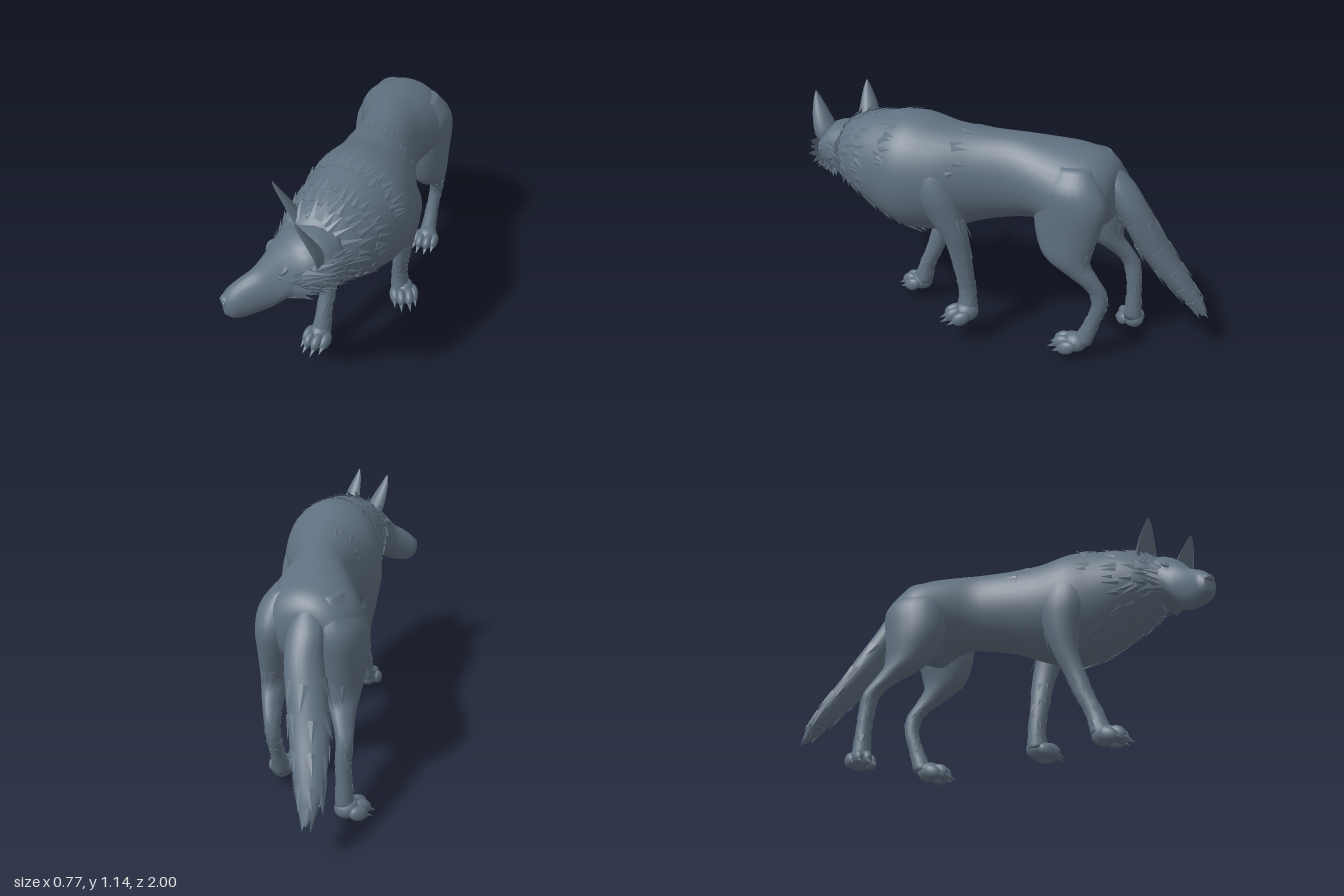
import * as THREE from 'three';
import { mergeGeometries } from 'three/addons/utils/BufferGeometryUtils.js';

const coat = new THREE.MeshStandardMaterial({ color: 0x607080 });
coat.name = 'slate coat';

let seed = 7;
const rand = () => (seed = (seed * 16807) % 2147483647) / 2147483647;

// Cross-sections: [x, y, z, halfWidth, halfDepth].
// Axis 'z' runs back to front, axis 'y' runs top to bottom.
function ringAt(rings, t) {
  const n = rings.length - 1, f = Math.min(Math.max(t, 0), 1) * n;
  const i = Math.min(Math.floor(f), n - 1), u = f - i;
  const at = k => rings[Math.min(Math.max(k, 0), n)];
  const [p, q, r, s] = [at(i - 1), at(i), at(i + 1), at(i + 2)];
  return q.map((b, k) => b + 0.5 * u * (r[k] - p[k] + u * (2 * p[k] - 5 * b + 4 * r[k] - s[k]
    + u * (3 * (b - r[k]) + s[k] - p[k]))));
}

function surf(rings, axis, t, a, dent = 1) {
  const [x, y, z, w, h] = ringAt(rings, t);
  const c = Math.cos(a) * w, s = Math.sin(a) * h * (Math.sin(a) > 0 ? dent : 1);
  return axis === 'z' ? new THREE.Vector3(x + c, y + s, z) : new THREE.Vector3(x + c, y, z + s);
}

function loft(name, rings, axis, { seg = 24, dent = 1 } = {}) {
  const rows = (rings.length - 1) * 4, pos = [], idx = [];
  for (let i = 0; i <= rows; i++)
    for (let j = 0; j < seg; j++)
      pos.push(...surf(rings, axis, i / rows, j / seg * Math.PI * 2, dent).toArray());
  for (let i = 0; i < rows; i++)
    for (let j = 0; j < seg; j++) {
      const a = i * seg + j, b = i * seg + (j + 1) % seg;
      idx.push(a, b, b + seg, a, b + seg, a + seg);
    }
  // End caps
  const first = pos.length / 3;
  pos.push(...rings[0].slice(0, 3), ...rings[rings.length - 1].slice(0, 3));
  for (let j = 0; j < seg; j++) {
    const k = (j + 1) % seg;
    idx.push(first, k, j, first + 1, rows * seg + j, rows * seg + k);
  }
  const g = new THREE.BufferGeometry();
  g.setAttribute('position', new THREE.Float32BufferAttribute(pos, 3));
  g.setIndex(idx);
  g.computeVertexNormals();
  const m = new THREE.Mesh(g, coat);
  m.name = name;
  return m;
}

// Rows of flat pointed tufts lying on a lofted surface: [t, startAngle, endAngle, count, length, width, lift]
function fur(name, rings, axis, rows) {
  const flow = axis === 'z' ? -1 : 1, parts = [];
  for (const [t0, a0, a1, n, len, wid, lift] of rows)
    for (let i = 0; i < n; i++) {
      const a = a0 + (a1 - a0) * (i + rand() * 0.8) / n, t = t0 + (rand() - 0.5) * 0.03;
      const p = surf(rings, axis, t, a);
      const along = surf(rings, axis, t + 0.01, a).sub(surf(rings, axis, t - 0.01, a)).normalize();
      const around = surf(rings, axis, t, a + 0.02).sub(p).normalize();
      const normal = around.clone().cross(along).normalize();
      const dir = along.multiplyScalar(flow).addScaledVector(normal, lift)
        .addScaledVector(around, (rand() - 0.5) * 0.5).normalize();
      const side = dir.clone().cross(normal).normalize();
      const L = len * (0.7 + rand() * 0.6);
      const g = new THREE.ConeGeometry(1, 1, 4, 1).toNonIndexed();
      g.translate(0, 0.35, 0).scale(wid, L, wid * 0.3);
      g.applyMatrix4(new THREE.Matrix4().makeBasis(side, dir, side.clone().cross(dir)).setPosition(p));
      g.computeVertexNormals();
      parts.push(g);
    }
  const m = new THREE.Mesh(mergeGeometries(parts), coat);
  m.name = name;
  return m;
}

function ball(name, x, y, z, rx, ry, rz) {
  const m = new THREE.Mesh(new THREE.SphereGeometry(1, 16, 12), coat);
  m.name = name;
  m.position.set(x, y, z);
  m.scale.set(rx, ry, rz);
  return m;
}

// Paw with four toes and heavy claws, sole at y
function paw(name, x, y, z, yaw) {
  const g = new THREE.Group();
  g.name = name;
  g.position.set(x, y, z);
  g.rotation.y = yaw;
  g.add(ball('pawPad', 0, 0.05, -0.02, 0.05, 0.048, 0.058));
  [-0.046, -0.019, 0.019, 0.046].forEach((tx, i) => {
    const inner = i % 3 > 0, tz = inner ? 0.04 : 0.01;
    const toe = ball('toe', tx, inner ? 0.045 : 0.036, tz, 0.024, 0.034, 0.046);
    toe.rotation.x = 0.45;
    const claw = new THREE.Mesh(new THREE.ConeGeometry(0.015, 0.055, 6), coat);
    claw.name = 'claw';
    claw.position.set(tx * 1.08, 0.018, tz + 0.045);
    claw.rotation.x = 2.05;
    g.add(toe, claw);
  });
  return g;
}

const BODY = [
  [-0.07, 0.8, -0.59, 0.05, 0.05], [-0.07, 0.8, -0.57, 0.135, 0.12], [-0.06, 0.8, -0.51, 0.195, 0.175],
  [-0.05, 0.79, -0.4, 0.225, 0.215], [-0.02, 0.83, -0.28, 0.19, 0.19], [0.02, 0.835, -0.15, 0.155, 0.2],
  [0.06, 0.82, 0, 0.175, 0.22], [0.105, 0.8, 0.15, 0.218, 0.255], [0.13, 0.805, 0.3, 0.245, 0.282],
  [0.14, 0.815, 0.42, 0.228, 0.262], [0.145, 0.835, 0.54, 0.205, 0.218], [0.14, 0.845, 0.64, 0.175, 0.178],
  [0.12, 0.84, 0.72, 0.125, 0.13]];

// Head in its own frame, facing +z
const HEAD = [
  [0.02, 0.86, -0.12, 0.1, 0.11], [0.018, 0.856, -0.04, 0.145, 0.128], [0.014, 0.84, 0.04, 0.145, 0.128],
  [0.006, 0.805, 0.1, 0.112, 0.118], [-0.003, 0.756, 0.15, 0.08, 0.116], [-0.012, 0.718, 0.2, 0.064, 0.1],
  [-0.02, 0.692, 0.26, 0.056, 0.088], [-0.026, 0.677, 0.305, 0.05, 0.068], [-0.028, 0.672, 0.333, 0.03, 0.04]];

const TAIL = [
  [-0.08, 0.92, -0.53, 0.03, 0.03], [-0.09, 0.85, -0.58, 0.07, 0.06], [-0.1, 0.75, -0.635, 0.08, 0.075],
  [-0.13, 0.64, -0.69, 0.085, 0.078], [-0.165, 0.52, -0.75, 0.085, 0.078], [-0.2, 0.4, -0.83, 0.075, 0.07],
  [-0.23, 0.29, -0.91, 0.053, 0.05], [-0.24, 0.2, -0.98, 0.012, 0.012]];

const LEGS = {
  leftForeleg: [[
    [0.22, 0.97, 0.22, 0.04, 0.05], [0.24, 0.88, 0.2, 0.08, 0.1], [0.252, 0.77, 0.17, 0.085, 0.115],
    [0.245, 0.66, 0.12, 0.066, 0.092], [0.235, 0.58, 0.08, 0.053, 0.07], [0.222, 0.5, 0.06, 0.044, 0.058],
    [0.2, 0.36, 0.047, 0.038, 0.047], [0.188, 0.25, 0.037, 0.035, 0.043], [0.195, 0.15, 0.037, 0.045, 0.05]],
  [0.22, 0.105, 0.05, 0.6]],
  rightForeleg: [[
    [0.02, 0.97, 0.29, 0.04, 0.05], [-0.02, 0.87, 0.29, 0.08, 0.11], [-0.04, 0.75, 0.28, 0.085, 0.125],
    [-0.045, 0.62, 0.27, 0.065, 0.085], [-0.038, 0.5, 0.285, 0.046, 0.058], [-0.025, 0.4, 0.32, 0.038, 0.05],
    [-0.018, 0.3, 0.355, 0.036, 0.045], [-0.015, 0.2, 0.4, 0.036, 0.042], [-0.015, 0.1, 0.43, 0.045, 0.05]],
  [-0.015, 0.045, 0.46, 0]],
  leftHindLeg: [[
    [0.06, 0.95, -0.42, 0.05, 0.08], [0.08, 0.87, -0.42, 0.09, 0.14], [0.085, 0.78, -0.43, 0.1, 0.165],
    [0.095, 0.65, -0.42, 0.088, 0.15], [0.11, 0.53, -0.43, 0.068, 0.11], [0.1, 0.45, -0.505, 0.046, 0.075],
    [0.08, 0.38, -0.57, 0.035, 0.046], [0.07, 0.3, -0.585, 0.033, 0.036], [0.068, 0.2, -0.555, 0.031, 0.036],
    [0.072, 0.08, -0.51, 0.042, 0.048]],
  [0.085, 0.027, -0.46, 0.15]],
  rightHindLeg: [[
    [-0.15, 0.96, -0.44, 0.04, 0.07], [-0.16, 0.89, -0.44, 0.08, 0.12], [-0.19, 0.8, -0.44, 0.1, 0.155],
    [-0.197, 0.66, -0.43, 0.1, 0.15], [-0.205, 0.53, -0.46, 0.078, 0.11], [-0.235, 0.45, -0.54, 0.05, 0.07],
    [-0.262, 0.38, -0.6, 0.038, 0.045], [-0.266, 0.3, -0.622, 0.034, 0.038], [-0.27, 0.2, -0.63, 0.035, 0.036],
    [-0.275, 0.06, -0.63, 0.042, 0.046]],
  [-0.3, 0, -0.615, -0.75]],
};

function makeHead() {
  const head = new THREE.Group();
  head.name = 'head';
  head.position.set(0.12, 0, 0.72);
  head.rotation.y = -0.63;
  head.add(loft('skullAndMuzzle', HEAD, 'z'), ball('nose', -0.028, 0.7, 0.322, 0.027, 0.022, 0.02));
  for (const s of [-1, 1]) {
    // Broad cupped ear, tip to base; the left one sits a little lower
    const e = s > 0 ? 0.018 : 0, d = s > 0 ? -0.022 : 0;
    head.add(loft(s > 0 ? 'leftEar' : 'rightEar', [
      [s * 0.116 + e, 1.135 + d, 0.07, 0.003, 0.003], [s * 0.113 + e, 1.09 + d, 0.06, 0.023, 0.02],
      [s * 0.107 + e, 1.02 + d, 0.035, 0.045, 0.04], [s * 0.095 + e, 0.95 + d, 0.012, 0.058, 0.052],
      [s * 0.08 + e, 0.87 + d, 0, 0.045, 0.045]], 'y', { seg: 20, dent: -0.2 }));
    const brow = ball('brow', s * 0.066 + 0.004, 0.862, 0.106, 0.036, 0.014, 0.032);
    brow.rotation.set(0.6, s * 0.6, s * 0.35);
    const eye = ball('eye', s * 0.074 + 0.002, 0.832, 0.122, 0.017, 0.009, 0.012);
    eye.rotation.set(0, s * 0.8, s * 0.4);
    head.add(brow, eye, ball('nostril', s * 0.017 - 0.028, 0.695, 0.333, 0.008, 0.009, 0.008));
    // Cheek ruff
    const mid = s > 0 ? -0.35 : Math.PI + 0.35;
    head.add(fur('cheekFur', HEAD, 'z', [0.06, 0.13, 0.2, 0.27, 0.34].map(t =>
      [t, mid - 0.8, mid + 0.8, 11, 0.09, 0.02, 0.35])));
  }
  return head;
}

export function createModel() {
  const wolf = new THREE.Group();
  wolf.name = 'wolf';
  wolf.add(loft('body', BODY, 'z', { seg: 36 }), makeHead(), loft('tail', TAIL, 'y'));

  // Collar, mane, chest and back fur
  const full = Math.PI * 2;
  wolf.add(fur('maneFur', BODY, 'z', [
    [0.95, 0, full, 30, 0.08, 0.02, 0.2], [0.89, 0, full, 32, 0.08, 0.02, 0.15],
    [0.83, -0.4, 3.54, 26, 0.07, 0.018, 0.14], [0.74, 0.3, 2.84, 28, 0.07, 0.016, 0.18],
    [0.54, 0.3, 2.8, 12, 0.06, 0.014, 0.03], [0.83, 3.8, 5.6, 14, 0.08, 0.02, 0.1],
    [0.76, 4, 5.4, 10, 0.08, 0.02, 0.08], [0.68, 4.1, 5.3, 8, 0.08, 0.02, 0.05]]));
  wolf.add(fur('tailFur', TAIL, 'y', [0.4, 0.55, 0.68, 0.8, 0.9].map(t =>
    [t, 0, full, 8, 0.1, 0.022, 0.1])));

  for (const [name, [rings, foot]] of Object.entries(LEGS)) {
    const leg = new THREE.Group();
    leg.name = name;
    leg.add(loft('limb', rings, 'y'), paw('paw', ...foot));
    // Short ruffled hair on the shin, longer tufts behind the elbow or thigh
    leg.add(fur('legFur', rings, 'y', [
      [0.4, 4.2, 5.2, 4, 0.08, 0.016, 0.15],
      ...[0.66, 0.73, 0.8, 0.86, 0.92].map(t => [t, 0, full, 7, 0.04, 0.011, 0.08])]));
    wolf.add(leg);
  }
  return wolf;
}
